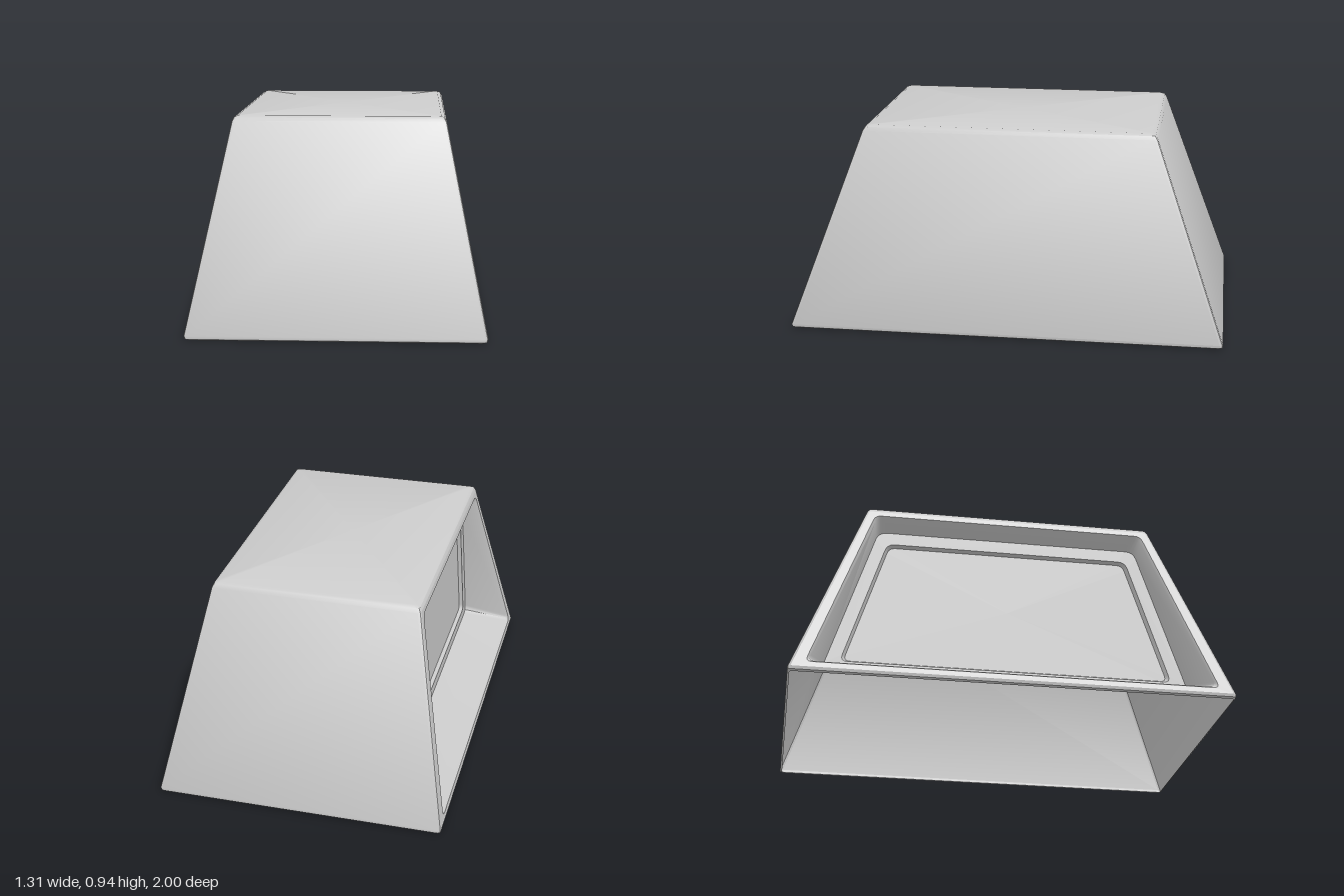
import * as THREE from 'three';
import { toCreasedNormals } from 'three/addons/utils/BufferGeometryUtils.js';

// Half width and half depth of the tapered hull at height y
const halfX = (y) => 0.66 - 0.2 * y;
const halfZ = (y) => 1.007 - 0.36 * y;
const EDGE = 0.014;
const WALL_LOW = 0.02;
const WALL_HIGH = 0.915;

// Joins closed rings of points into a surface; optionally skips faces and caps the last ring
function loft(rings, { skip = () => false, cap = false } = {}) {
  const n = rings[0].length;
  const positions = rings.flat().flatMap((p) => p.toArray());
  const index = [];
  for (let r = 0; r < rings.length - 1; r++) {
    for (let i = 0; i < n; i++) {
      if (skip(r, i)) continue;
      const j = (i + 1) % n;
      const a = r * n + i, b = r * n + j, c = (r + 1) * n + j, d = (r + 1) * n + i;
      index.push(a, b, c, a, c, d);
    }
  }
  if (cap) {
    const last = rings[rings.length - 1];
    const centre = last.reduce((s, p) => s.add(p), new THREE.Vector3()).divideScalar(n);
    positions.push(...centre.toArray());
    const base = (rings.length - 1) * n;
    for (let i = 0; i < n; i++) index.push(rings.length * n, base + i, base + ((i + 1) % n));
  }
  const geometry = new THREE.BufferGeometry();
  geometry.setAttribute('position', new THREE.Float32BufferAttribute(positions, 3));
  geometry.setIndex(index);
  return toCreasedNormals(geometry, 0.6);
}

// Rounds the corners of a closed outline with `steps` points each
function roundCorners(corners, radius, steps) {
  return corners.flatMap((p, i) => {
    const toward = (q) => p.clone().add(q.clone().sub(p).setLength(radius));
    const before = toward(corners[(i + corners.length - 1) % corners.length]);
    const after = toward(corners[(i + 1) % corners.length]);
    return new THREE.QuadraticBezierCurve3(before, p, after).getPoints(steps - 1);
  });
}

// Horizontal section of the hull
function hullRing(y, inset) {
  const x = halfX(y) - inset, z = halfZ(y) - inset;
  const corners = [[x, z], [x, -z], [-x, -z], [-x, z]].map(([a, b]) => new THREE.Vector3(a, y, b));
  return roundCorners(corners, EDGE, 3);
}

// Trapezoid outline on the open side: x, y and half depth at bottom and top
function sideRing([x0, y0, z0], [x1, y1, z1], radius) {
  const corners = [[x0, y0, -z0], [x0, y0, z0], [x1, y1, z1], [x1, y1, -z1]];
  return roundCorners(corners.map((c) => new THREE.Vector3(...c)), radius, 5);
}

export function createModel() {
  const grey = new THREE.MeshStandardMaterial({ color: 0xcccccc, side: THREE.DoubleSide });
  grey.name = 'light grey';
  const group = new THREE.Group();
  group.name = 'taperedHousing';
  const add = (name, geometry) => {
    const mesh = new THREE.Mesh(geometry, grey);
    mesh.name = name;
    group.add(mesh);
  };

  // Outer shell, open underneath, with the flat of the -x wall left out
  const profile = [
    [0, 0.018], [0.006, 0.006], [WALL_LOW, 0],
    [WALL_HIGH, 0], [0.932, 0.005], [0.94, 0.02],
  ];
  add('shell', loft(profile.map(([y, inset]) => hullRing(y, inset)), {
    skip: (row, i) => row === 2 && i === 8,
    cap: true,
  }));

  // Border of the open side
  const wallCorner = (y) => [-halfX(y), y, halfZ(y) - EDGE];
  const onWall = (y, z, depth = 0) => [-halfX(y) + depth, y, z];
  const opening = sideRing(onWall(0.046, 0.925), onWall(0.892, 0.637), 0.03);
  add('openingBorder', loft([
    sideRing(wallCorner(WALL_LOW), wallCorner(WALL_HIGH), 0.0001),
    opening,
  ]));

  // Recess tapering in to an upright ledge
  const ledge = -0.42;
  const ledgeOuter = sideRing([ledge, 0.11, 0.85], [ledge, 0.837, 0.615], 0.04);
  add('recessWalls', loft([
    opening,
    sideRing(onWall(0.055, 0.913, 0.012), onWall(0.882, 0.628, 0.012), 0.03),
    ledgeOuter,
  ]));

  // Ledge and the slightly sunken back panel
  add('recessPanel', loft([
    ledgeOuter,
    sideRing([ledge, 0.162, 0.768], [ledge, 0.778, 0.572], 0.035),
    sideRing([ledge + 0.018, 0.172, 0.752], [ledge + 0.018, 0.768, 0.562], 0.03),
  ], { cap: true }));

  return group;
}
